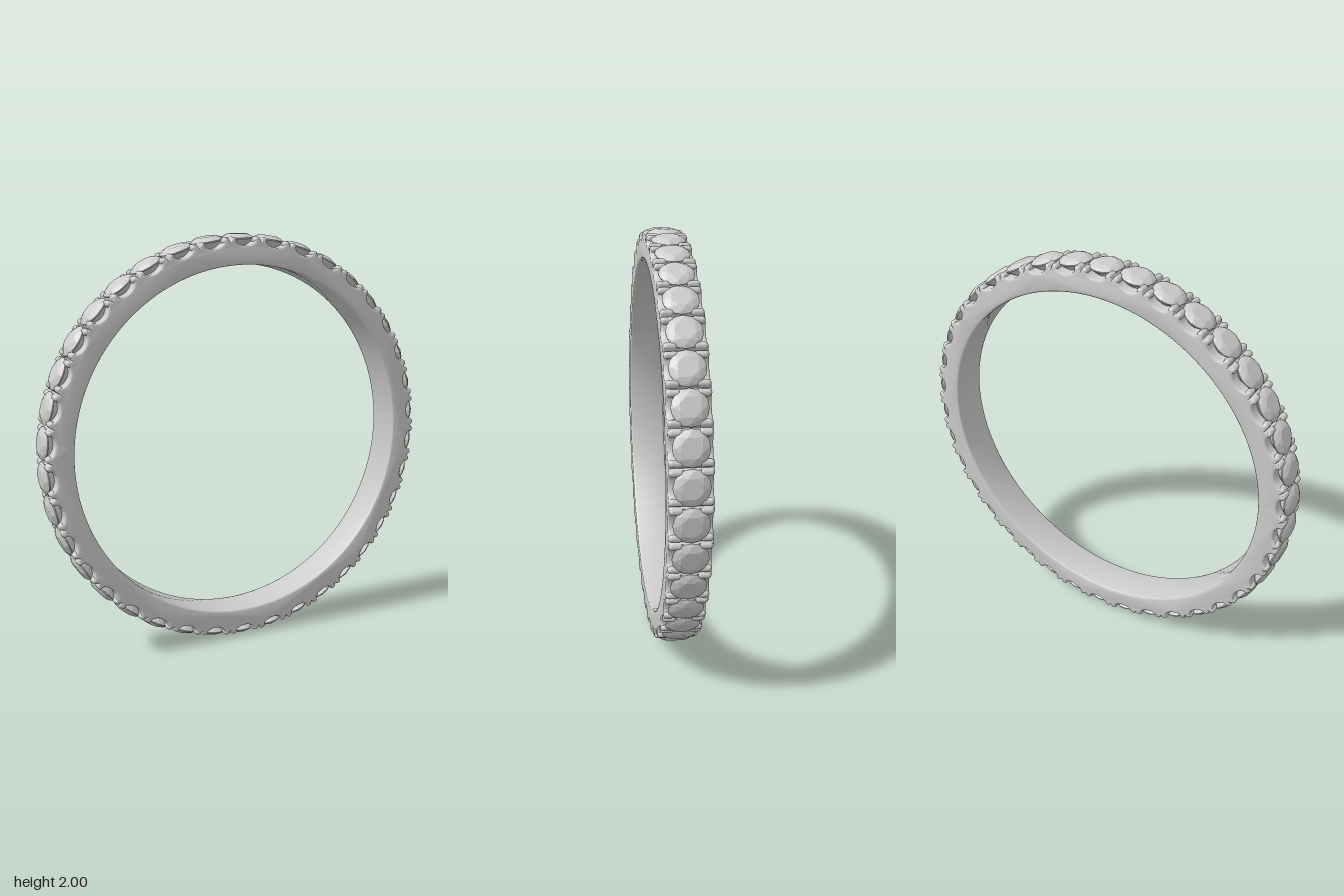
import * as THREE from 'three';
import { toCreasedNormals } from 'three/addons/utils/BufferGeometryUtils.js';
import { ConvexGeometry } from 'three/addons/geometries/ConvexGeometry.js';

const COUNT = 38;                    // stones around the ring
const STEP = (Math.PI * 2) / COUNT;
const INNER = 0.856, RIM = 0.978, HALF_WIDTH = 0.094;

// Outer edge of the band: a scooped window under each stone, a small slit between stones
function rimRadius(a) {
  const window = a / 0.054;
  if (Math.abs(window) < 1) return RIM - 0.034 * Math.sqrt(1 - window * window);
  const slit = (STEP / 2 - Math.abs(a)) / 0.008;
  return slit < 1 ? RIM - 0.012 * (1 - slit) : RIM;
}

function bandGeometry() {
  const points = [];
  const samples = 24;
  for (let i = 0; i < COUNT; i++) {
    for (let j = 0; j < samples; j++) {
      const local = (j / samples - 0.5) * STEP;
      const a = Math.PI / 2 + i * STEP + local;
      const r = rimRadius(local);
      points.push(new THREE.Vector2(r * Math.cos(a), r * Math.sin(a)));
    }
  }
  const shape = new THREE.Shape(points);
  const hole = new THREE.Path();
  hole.absarc(0, 0, INNER, 0, Math.PI * 2, true);
  shape.holes.push(hole);
  const bevel = 0.01;
  const geometry = new THREE.ExtrudeGeometry(shape, {
    depth: 2 * (HALF_WIDTH - bevel), curveSegments: 152,
    bevelEnabled: true, bevelThickness: bevel, bevelSize: bevel,
    bevelOffset: -bevel, bevelSegments: 3,
  });
  geometry.translate(0, 0, -(HALF_WIDTH - bevel));
  return toCreasedNormals(geometry, 0.7);
}

// Faceted round stone, table facing +y
function stoneGeometry() {
  const points = [];
  const ring = (n, r, y, turn = 0) => {
    for (let i = 0; i < n; i++) {
      const a = ((i + turn) / n) * Math.PI * 2;
      points.push(new THREE.Vector3(r * Math.cos(a), y, r * Math.sin(a)));
    }
  };
  ring(8, 0.046, 0.998, 0.5);   // table
  ring(8, 0.066, 0.99);         // crown
  ring(16, 0.079, 0.979);       // girdle
  ring(16, 0.079, 0.974);
  ring(8, 0.045, 0.945, 0.5);   // pavilion
  points.push(new THREE.Vector3(0, 0.905, 0));
  return new ConvexGeometry(points);
}

export function createModel() {
  const metal = new THREE.MeshStandardMaterial({ color: 0xcccccc });
  metal.name = 'light grey';

  const ring = new THREE.Group();
  ring.name = 'ring';
  ring.position.y = 1;

  const band = new THREE.Mesh(bandGeometry(), metal);
  band.name = 'band';
  ring.add(band);

  const stoneShape = stoneGeometry();
  const prongShape = new THREE.CapsuleGeometry(0.016, 0.03, 5, 12);
  prongShape.rotateX(Math.PI / 2);

  for (let i = 0; i < COUNT; i++) {
    const setting = new THREE.Group();
    setting.name = 'stoneSetting';
    setting.rotation.z = i * STEP;

    const stone = new THREE.Mesh(stoneShape, metal);
    stone.name = 'stone';
    setting.add(stone);

    // Four rounded prongs reach over the stone's corners
    for (const side of [-1, 1]) {
      for (const face of [-1, 1]) {
        const a = side * (STEP / 2 - 0.02);
        const prong = new THREE.Mesh(prongShape, metal);
        prong.name = 'prong';
        prong.position.set(0.97 * Math.sin(a), 0.97 * Math.cos(a), face * 0.063);
        prong.rotation.z = -a;
        setting.add(prong);
      }
    }
    ring.add(setting);
  }

  const model = new THREE.Group();
  model.name = 'eternityRing';
  model.add(ring);
  return model;
}
